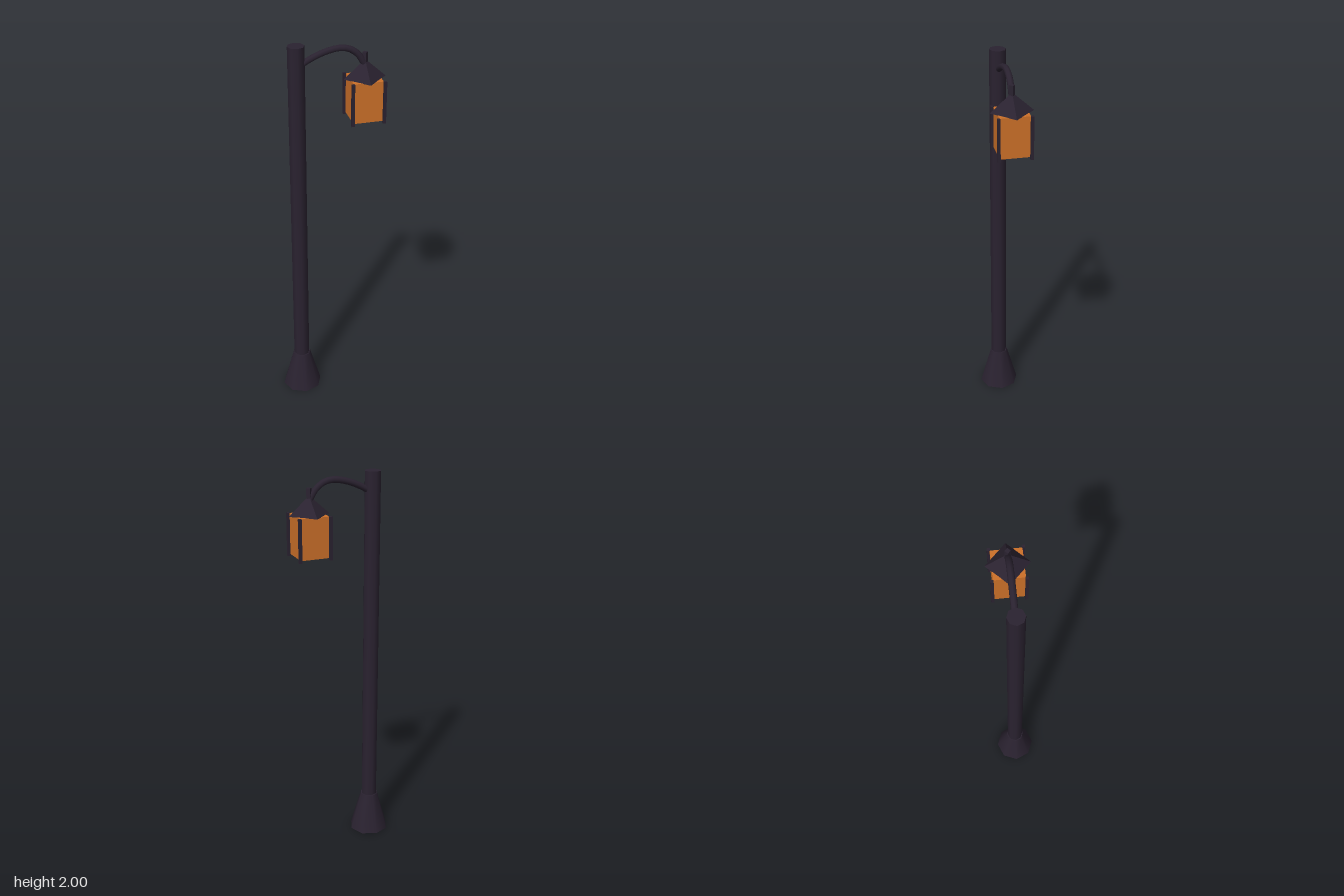
import * as THREE from 'three';

export function createModel() {
  const model = new THREE.Group();
  const iron = new THREE.MeshStandardMaterial({ color: 0x2a2230 });
  const ironFlat = iron.clone();
  ironFlat.flatShading = true;
  const glass = new THREE.MeshStandardMaterial({ color: 0xcc7029 });
  const poleX = -0.169, lampX = 0.167;

  const add = (name, geometry, material, x, y, z = 0, parent = model) => {
    const mesh = new THREE.Mesh(geometry, material);
    mesh.name = name;
    mesh.position.set(x, y, z);
    parent.add(mesh);
    return mesh;
  };

  // Flared foot and octagonal pole
  add('base', new THREE.CylinderGeometry(0.047, 0.105, 0.21, 8), iron, poleX, 0.105);
  add('pole', new THREE.CylinderGeometry(0.042, 0.042, 1.82, 8), iron, poleX, 1.09);

  // Curved arm reaching over to the lantern
  const path = new THREE.CatmullRomCurve3([
    [-0.16, 1.895], [-0.12, 1.92], [-0.04, 1.955], [0.04, 1.971],
    [0.09, 1.962], [0.132, 1.932], [0.165, 1.88],
  ].map(([x, y]) => new THREE.Vector3(x, y, 0)));
  add('arm', new THREE.TubeGeometry(path, 14, 0.016, 8), iron, 0, 0);

  // Lantern: hanger, pyramid roof set diagonally, glass body, corner posts
  const lantern = new THREE.Group();
  lantern.name = 'lantern';
  lantern.position.x = lampX;
  model.add(lantern);
  add('hanger', new THREE.CylinderGeometry(0.014, 0.014, 0.07, 4), ironFlat, 0, 1.905, 0, lantern);
  add('roof', new THREE.CylinderGeometry(0.016, 0.105, 0.08, 4), ironFlat, 0, 1.85, 0, lantern);
  add('glassBody', new THREE.BoxGeometry(0.148, 0.204, 0.148), glass, 0, 1.709, 0, lantern);
  for (const sx of [-1, 1]) {
    for (const sz of [-1, 1]) {
      add('cornerPost', new THREE.BoxGeometry(0.015, 0.215, 0.015), ironFlat,
        sx * 0.079, 1.705, sz * 0.079, lantern);
    }
  }
  return model;
}
